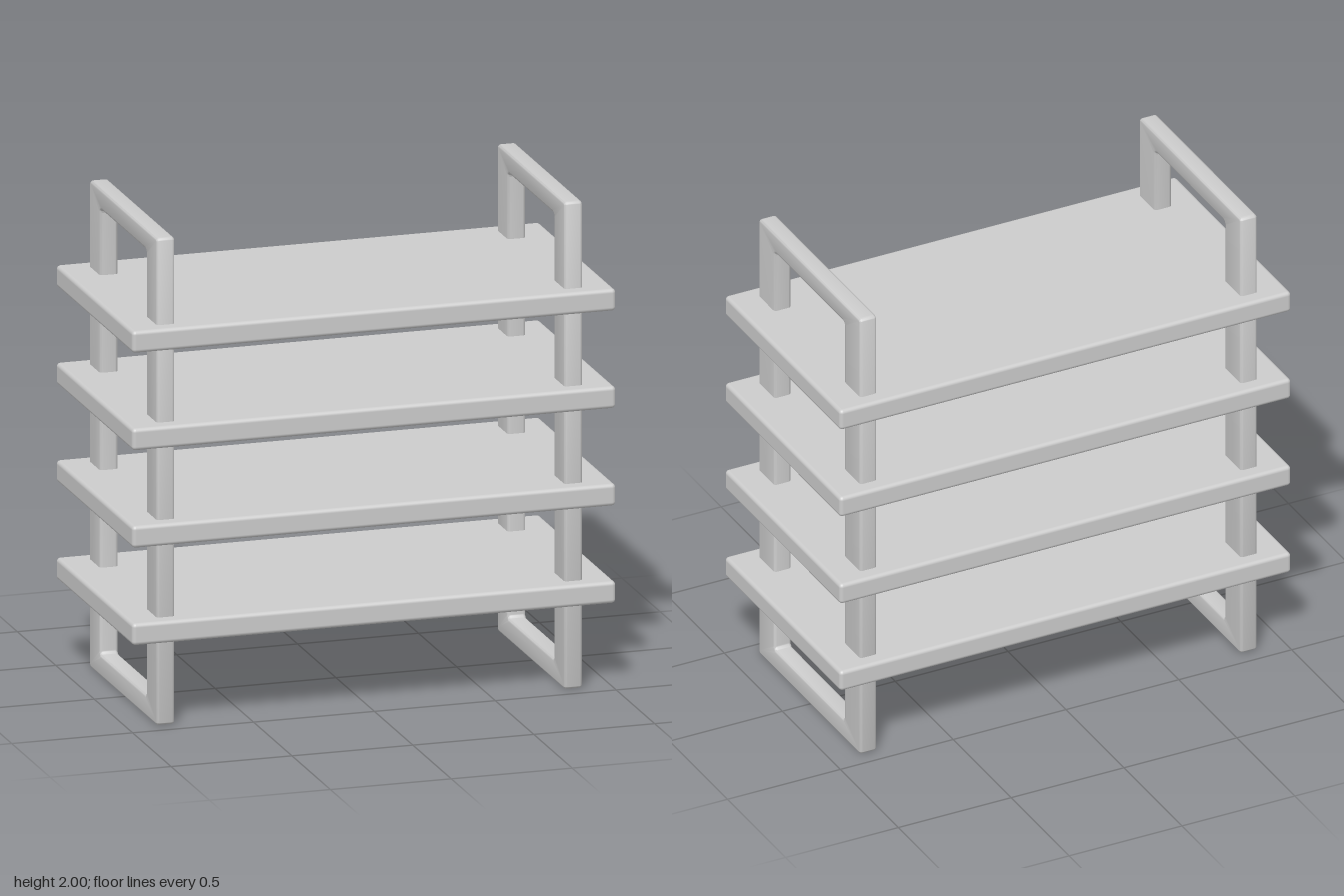
import * as THREE from 'three';
import { RoundedBoxGeometry } from 'three/addons/geometries/RoundedBoxGeometry.js';
import { toCreasedNormals } from 'three/addons/utils/BufferGeometryUtils.js';

const BEVEL = 0.012;

// Rounded rectangle outline, drawn onto a Shape or a Path
function roundedRect(path, x0, y0, x1, y1, r) {
  path.moveTo(x0 + r, y0);
  path.lineTo(x1 - r, y0);
  path.absarc(x1 - r, y0 + r, r, -Math.PI / 2, 0, false);
  path.lineTo(x1, y1 - r);
  path.absarc(x1 - r, y1 - r, r, 0, Math.PI / 2, false);
  path.lineTo(x0 + r, y1);
  path.absarc(x0 + r, y1 - r, r, Math.PI / 2, Math.PI, false);
  path.lineTo(x0, y0 + r);
  path.absarc(x0 + r, y0 + r, r, Math.PI, Math.PI * 1.5, false);
  return path;
}

// Closed rectangular side frame with softened edges, lying in the z-y plane
function frameGeometry(thickness) {
  const shape = roundedRect(new THREE.Shape(), -0.44, 0, 0.44, 2, 0.018);
  shape.holes.push(roundedRect(new THREE.Path(), -0.3, 0.09, 0.3, 1.915, 0.015));
  const geometry = new THREE.ExtrudeGeometry(shape, {
    depth: thickness - 2 * BEVEL,
    bevelThickness: BEVEL,
    bevelSize: BEVEL,
    bevelOffset: -BEVEL,
    bevelSegments: 3,
    curveSegments: 4,
  });
  geometry.translate(0, 0, BEVEL - thickness / 2);
  geometry.rotateY(Math.PI / 2);
  return toCreasedNormals(geometry, Math.PI / 5);
}

export function createModel() {
  const model = new THREE.Group();
  model.name = 'shelfUnit';
  const material = new THREE.MeshStandardMaterial({ color: 0xcccccc });

  // Side frames
  const frame = frameGeometry(0.075);
  for (const side of [1, -1]) {
    const mesh = new THREE.Mesh(frame, material);
    mesh.name = side > 0 ? 'leftFrame' : 'rightFrame';
    mesh.position.x = side * 0.843;
    model.add(mesh);
  }

  // Four evenly spaced shelves, overhanging the frames
  const board = new RoundedBoxGeometry(2, 0.09, 1, 3, 0.016);
  for (let i = 0; i < 4; i++) {
    const shelf = new THREE.Mesh(board, material);
    shelf.name = `shelf${i + 1}`;
    shelf.position.y = 0.4 + i * 0.4;
    model.add(shelf);
  }

  return model;
}
